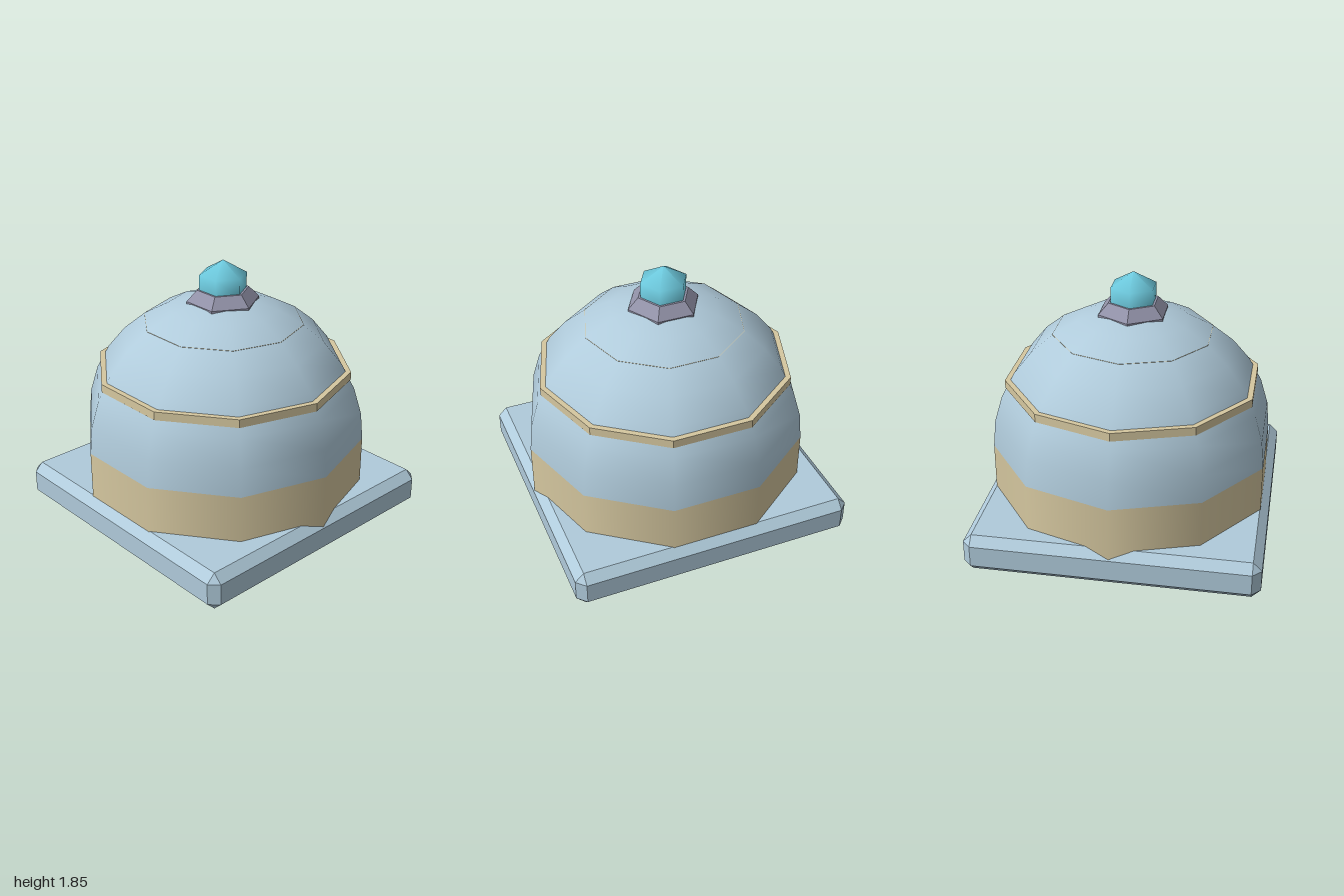
import * as THREE from 'three';
import { ConvexGeometry } from 'three/addons/geometries/ConvexGeometry.js';

const mat = (name, color) => {
  const m = new THREE.MeshStandardMaterial({ color });
  m.name = name;
  return m;
};

export function createModel() {
  const group = new THREE.Group();
  const blue = mat('pale blue', 0xb0cbdb);
  const sand = mat('sand', 0xd6c8a0);
  const stone = mat('grey violet', 0x9292a8);
  const aqua = mat('aqua', 0x6cc8dc);

  const add = (name, geometry, material) => {
    const mesh = new THREE.Mesh(geometry, material);
    mesh.name = name;
    group.add(mesh);
  };
  // Polygonal lathe with a corner on the +x axis; flat gives hard facets
  const turned = (points, sides, flat) => {
    const g = new THREE.LatheGeometry(points.map(([r, y]) => new THREE.Vector2(r, y)), sides, Math.PI / 2);
    if (!flat) return g;
    const f = g.toNonIndexed();
    f.computeVertexNormals();
    return f;
  };

  // Square base slab with every edge chamfered
  const corners = [];
  const H = 0.135, C = 0.06;
  for (const sx of [-1, 1]) for (const sy of [-1, 1]) for (const sz of [-1, 1])
    for (let axis = 0; axis < 3; axis++) {
      const inset = [0, 1, 2].map((i) => (i === axis ? 0 : C));
      corners.push(new THREE.Vector3(sx * (1 - inset[0]), H + sy * (H - inset[1]), sz * (1 - inset[2])));
    }
  add('baseSlab', new ConvexGeometry(corners), blue);

  // Ten-sided wall and dome
  const R = 0.993, SPRING = 0.6;
  add('lowerWall', turned([[R, 0.16], [R, SPRING]], 10), sand);
  const dome = [];
  for (let i = 0; i <= 8; i++) {
    const a = (i / 8) * Math.PI / 2;
    dome.push([i === 8 ? 0 : R * Math.cos(a), SPRING + R * Math.sin(a)]);
  }
  add('dome', turned(dome, 10), blue);

  // Trim bands around the dome
  const band = (r, inner, y0, y1) => turned([[inner, y0], [r, y0], [r, y1], [inner, y1]], 10, true);
  add('domeBand', band(0.89, 0.8, 1.045, 1.103), sand);
  add('upperTrim', band(0.556, 0.5, 1.416, 1.424), sand);

  // Hexagonal collar and crystal finial
  add('finialCollar', turned([[0, 1.54], [0.252, 1.54], [0.252, 1.57], [0.18, 1.645], [0, 1.645]], 6, true), stone);
  add('crystal', turned([[0.164, 1.63], [0.164, 1.75], [0, 1.847]], 6), aqua);

  return group;
}
